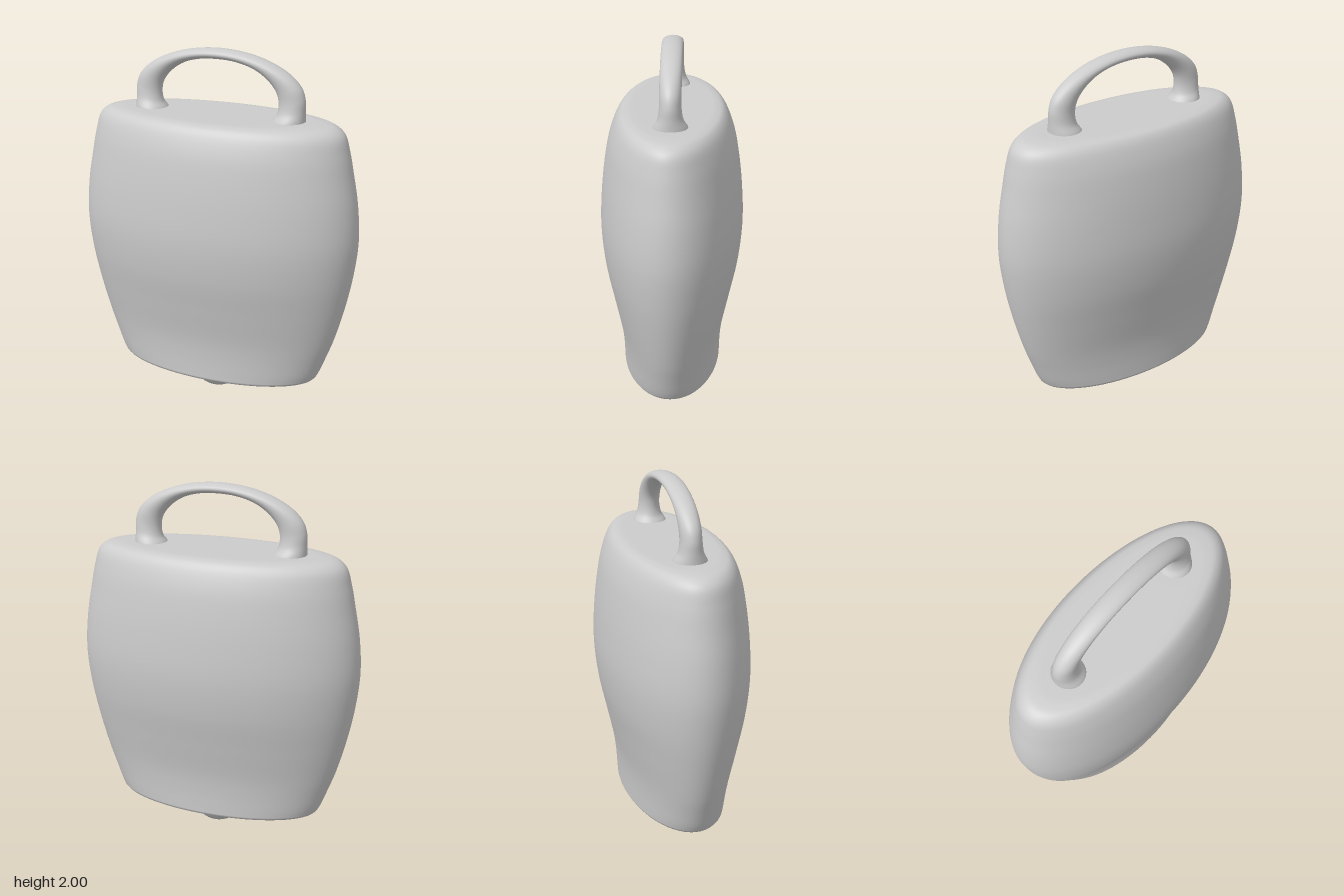
import * as THREE from 'three';

const V = (x, y, z) => new THREE.Vector3(x, y, z);
const material = new THREE.MeshStandardMaterial({ color: 0xcccccc, side: THREE.DoubleSide });

// Skins a list of closed rings, each with the same number of points
function loft(rings) {
  const n = rings[0].length, index = [];
  for (let r = 0; r < rings.length - 1; r++) {
    for (let i = 0; i < n; i++) {
      const a = r * n + i, b = r * n + (i + 1) % n;
      index.push(a, b, a + n, b, b + n, a + n);
    }
  }
  const geometry = new THREE.BufferGeometry().setFromPoints(rings.flat());
  geometry.setIndex(index);
  geometry.computeVertexNormals();
  return geometry;
}

// Ellipse spanned by two half axes
function ellipse(center, u, v, n) {
  return Array.from({ length: n }, (_, i) => {
    const a = (i / n) * Math.PI * 2;
    return center.clone().addScaledVector(u, Math.cos(a)).addScaledVector(v, Math.sin(a));
  });
}

function part(name, geometry) {
  const mesh = new THREE.Mesh(geometry, material);
  mesh.name = name;
  return mesh;
}

// Hollow shell: oval sections, down the outside, round the rim and up the inside
function bellShell() {
  // half width, height, half depth
  const wall = new THREE.CatmullRomCurve3([
    V(0.5, 1.645, 0.2), V(0.6, 1.642, 0.245), V(0.67, 1.628, 0.28), V(0.715, 1.59, 0.308),
    V(0.743, 1.5, 0.342), V(0.767, 1.38, 0.366), V(0.798, 1.2, 0.387), V(0.81, 1.0, 0.395),
    V(0.79, 0.8, 0.376), V(0.75, 0.6, 0.334), V(0.695, 0.4, 0.292), V(0.655, 0.29, 0.28),
    V(0.62, 0.2, 0.276), V(0.6, 0.16, 0.275),
  ]).getPoints(90);
  const inner = wall.map((p) => V(p.x - 0.03, Math.min(p.y, 1.61), p.z - 0.03)).reverse();
  const profile = [
    V(0, 1.645, 0), V(0.25, 1.645, 0.1), ...wall,
    V(0.59, 0.15, 0.268), V(0.576, 0.15, 0.252), ...inner, V(0, 1.61, 0),
  ];
  return loft(profile.map((p) => ellipse(V(0, p.y, 0), V(p.x, 0, 0), V(0, 0, p.z), 96)));
}

// Arched handle: oval sections between an outer and an inner outline, flared at the feet
function handleArch() {
  // outer x, outer y, inner x, inner y, half depth
  const half = [
    [0.495, 1.62, 0.3, 1.62, 0.1], [0.495, 1.65, 0.32, 1.65, 0.09],
    [0.495, 1.7, 0.339, 1.68, 0.068], [0.494, 1.76, 0.347, 1.73, 0.058],
    [0.475, 1.82, 0.335, 1.79, 0.057], [0.42, 1.88, 0.29, 1.85, 0.057],
    [0.32, 1.938, 0.21, 1.905, 0.057], [0.175, 1.983, 0.11, 1.935, 0.057],
  ];
  const sections = [
    ...half.map(([ox, oy, ix, iy, d]) => [-ox, oy, -ix, iy, d]),
    [0, 2, 0, 1.943, 0.057],
    ...half.slice().reverse(),
  ];
  const outer = new THREE.CatmullRomCurve3(sections.map((s) => V(s[0], s[1], s[4])));
  const inner = new THREE.CatmullRomCurve3(sections.map((s) => V(s[2], s[3], s[4])));
  const rings = [], steps = 96;
  for (let i = 0; i <= steps; i++) {
    const o = outer.getPoint(i / steps), p = inner.getPoint(i / steps), depth = o.z;
    o.z = p.z = 0;
    const mid = o.clone().add(p).multiplyScalar(0.5);
    rings.push(ellipse(mid, o.sub(mid), V(0, 0, depth), 32));
  }
  return loft(rings);
}

// Clapper: round end with a stem tapering up to the ceiling
function clapperShape() {
  const r = 0.157, profile = [];
  for (let i = 0; i <= 20; i++) {
    const a = (i / 20) * Math.PI * 0.52;
    profile.push(new THREE.Vector2(r * Math.sin(a), r - r * Math.cos(a)));
  }
  profile.push(new THREE.Vector2(0.142, 0.45), new THREE.Vector2(0.09, 1.62));
  return new THREE.LatheGeometry(profile, 48);
}

export function createModel() {
  const model = new THREE.Group();
  model.name = 'cowbell';
  model.add(
    part('bellShell', bellShell()),
    part('handle', handleArch()),
    part('clapper', clapperShape()),
  );
  return model;
}
